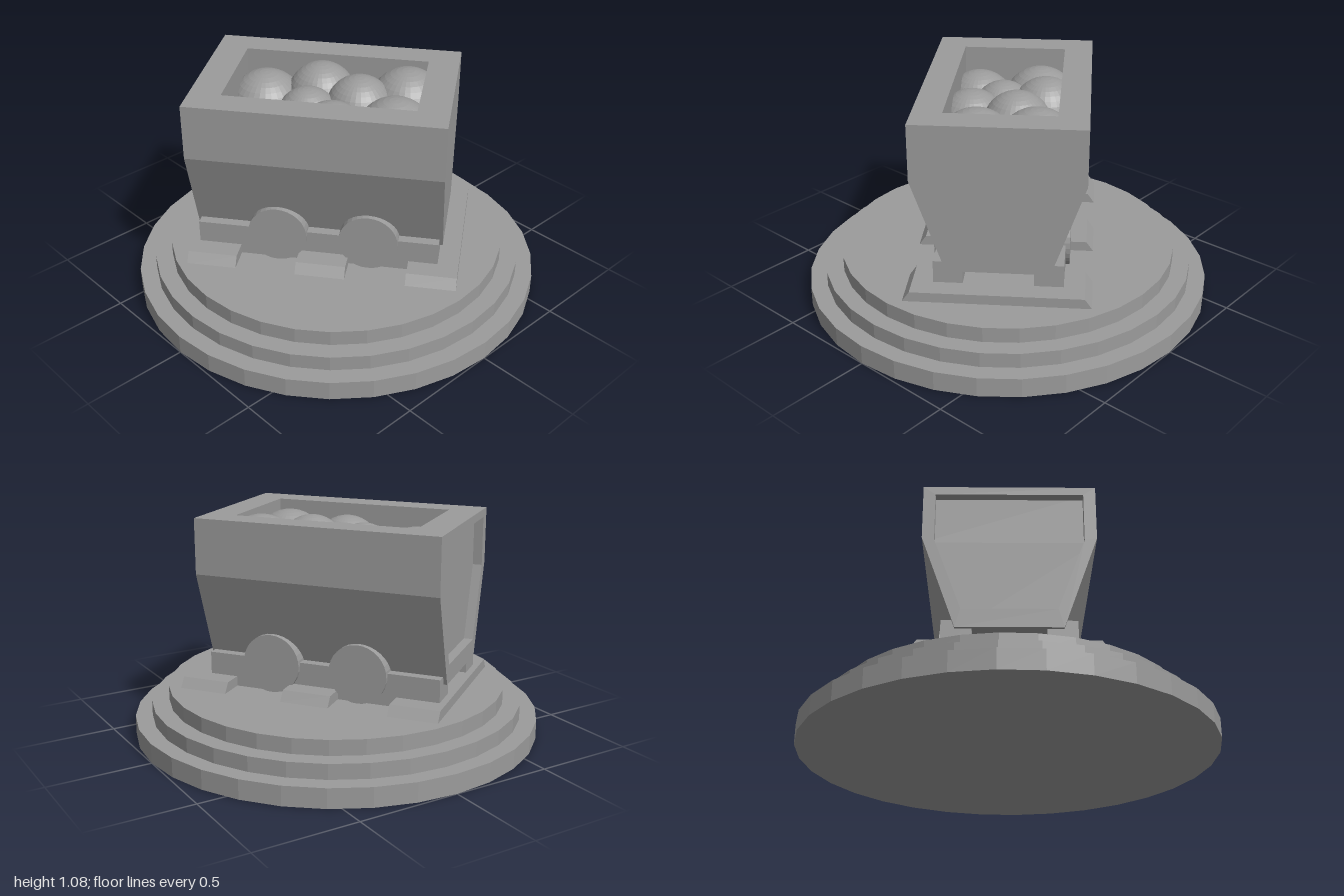
import * as THREE from 'three';

const stone = new THREE.MeshStandardMaterial({ color: 0x9b9b9b, flatShading: true });

function add(parent, name, geometry, x = 0, y = 0, z = 0) {
  const mesh = new THREE.Mesh(geometry, stone);
  mesh.name = name;
  mesh.position.set(x, y, z);
  parent.add(mesh);
  return mesh;
}

// Closed skin through rectangular rings [x0, x1, halfWidth, y]
function loft(rings) {
  const loops = rings.map(([x0, x1, h, y]) => [[x0, y, h], [x1, y, h], [x1, y, -h], [x0, y, -h]]);
  const pos = [];
  const quad = (a, b, c, d) => pos.push(...a, ...b, ...c, ...a, ...c, ...d);
  const first = loops[0], last = loops[loops.length - 1];
  for (let i = 0; i < loops.length - 1; i++) {
    for (let k = 0; k < 4; k++) {
      const n = (k + 1) % 4;
      quad(loops[i][k], loops[i][n], loops[i + 1][n], loops[i + 1][k]);
    }
  }
  quad(...last);
  quad(first[3], first[2], first[1], first[0]);
  const geo = new THREE.BufferGeometry();
  geo.setAttribute('position', new THREE.Float32BufferAttribute(pos, 3));
  geo.computeVertexNormals();
  return geo;
}

// Symmetric outline from half-width / height pairs, bottom to top
function outline(half) {
  const right = half.map(([w, y]) => new THREE.Vector2(w, y));
  const left = half.map(([w, y]) => new THREE.Vector2(-w, y)).reverse();
  return [...right, ...left];
}

export function createModel() {
  const model = new THREE.Group();
  model.name = 'mineCart';

  // Stepped round base
  const base = new THREE.Group();
  base.name = 'base';
  model.add(base);
  for (const [r, y0, y1] of [[1, 0, 0.095], [0.917, 0.095, 0.168], [0.832, 0.168, 0.242]]) {
    add(base, 'baseStep', new THREE.CylinderGeometry(r, r, y1 - y0, 32), 0, (y0 + y1) / 2, 0);
  }

  // Everything on the base is turned diagonally
  const turned = new THREE.Group();
  turned.name = 'trackAndCart';
  turned.rotation.y = THREE.MathUtils.degToRad(36.87);
  model.add(turned);

  // Sleepers with sloping ends
  for (const x of [-0.538, -0.008, 0.522]) {
    add(turned, 'sleeper', loft([[-0.12, 0.12, 0.435, 0.24], [-0.12, 0.12, 0.4, 0.29]]), x);
  }

  const cart = new THREE.Group();
  cart.name = 'cart';
  cart.position.x = -0.042;
  turned.add(cart);

  for (const side of [-1, 1]) {
    // Side beams of the undercarriage
    add(cart, 'sideBeam', new THREE.BoxGeometry(1.168, 0.16, 0.137), 0, 0.32, side * 0.233);
    // Wide wheels passing through the beams
    for (const x of [-0.19, 0.25]) {
      add(cart, 'wheel', new THREE.CylinderGeometry(0.143, 0.143, 0.27, 32), x, 0.384, side * 0.187).rotation.x = Math.PI / 2;
    }
  }

  // Tub with flared sides, thick rim and an open pocket
  add(cart, 'tub', loft([
    [-0.555, 0.6, 0.24, 0.36],
    [-0.555, 0.6, 0.396, 0.81],
    [-0.555, 0.6, 0.396, 1.08],
    [-0.448, 0.452, 0.256, 1.08],
    [-0.448, 0.452, 0.256, 0.8],
  ]));

  // Raised border around the recessed end panel
  const frame = new THREE.Shape(outline([[0.24, 0.36], [0.396, 0.81], [0.396, 1.08]]));
  frame.holes.push(new THREE.Path(outline([[0.215, 0.45], [0.34, 0.8], [0.34, 1.04]])));
  const frameGeo = new THREE.ExtrudeGeometry(frame, { depth: 0.045, bevelEnabled: false });
  add(cart, 'endFrame', frameGeo, -0.555).rotation.y = -Math.PI / 2;

  // Load of rounded rocks: x, z, top height, radius
  const rocks = [
    [-0.33, -0.14, 1.02, 0.19], [-0.31, 0.17, 1.0, 0.18],
    [-0.06, -0.18, 1.065, 0.17], [-0.09, 0.03, 1.03, 0.15],
    [0.146, -0.054, 1.07, 0.165], [0.05, 0.17, 1.035, 0.17],
    [0.365, -0.16, 1.075, 0.19], [0.34, 0.12, 1.055, 0.19],
  ];
  for (const [x, z, top, r] of rocks) {
    add(cart, 'rock', new THREE.SphereGeometry(r, 32, 20), x, top - r, z);
  }
  return model;
}
